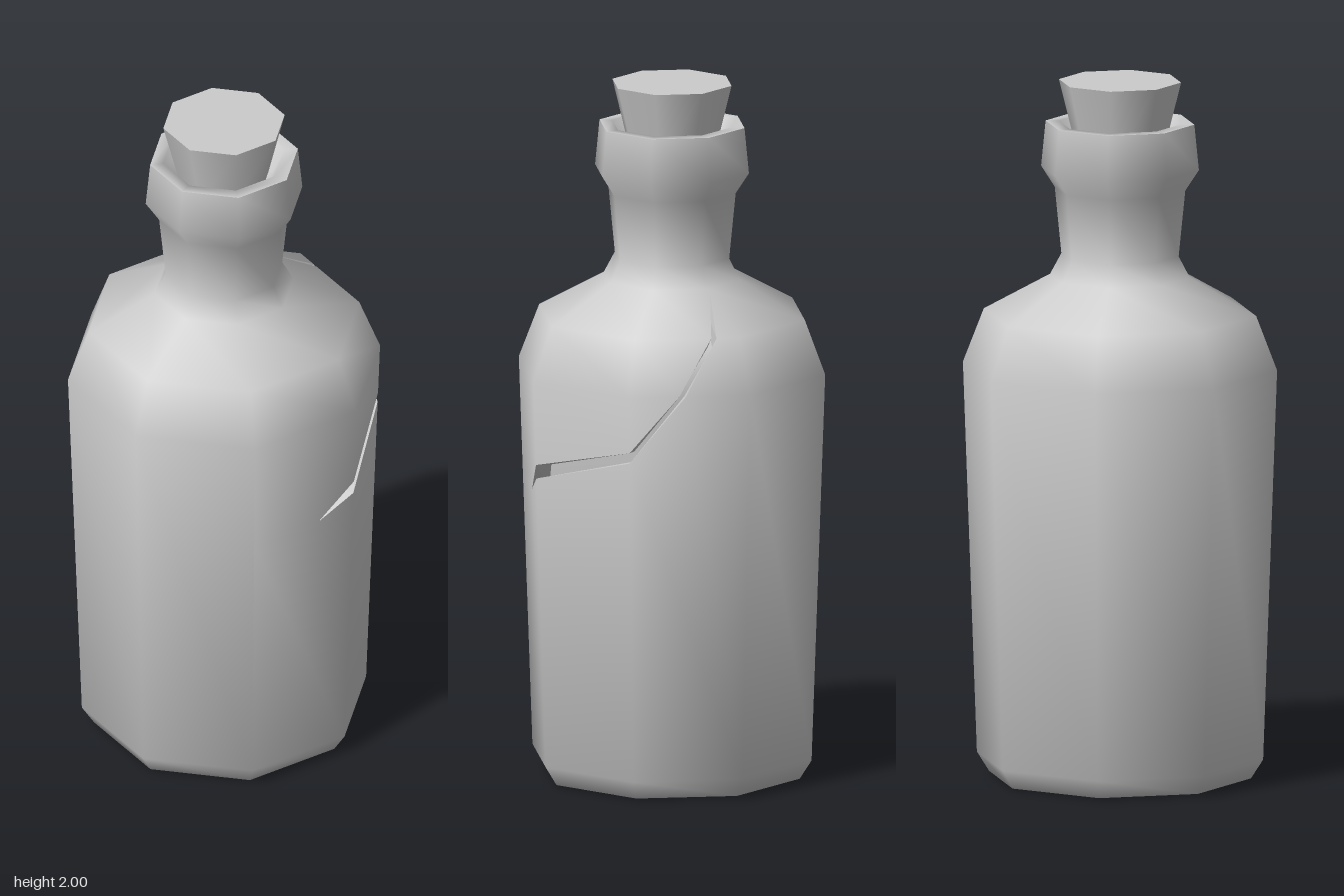
import * as THREE from 'three';

const SIDES = 8;
const CRACK_DEPTH = 0.05;
const V = (x, y, z) => new THREE.Vector3(x, y, z);

// Outer silhouette [radius, height], from the base centre up to the lip
const PROFILE = [
  [0, 0], [0.375, 0.005], [0.41, 0.06], [0.45, 1.18], [0.39, 1.335],
  [0.2, 1.44], [0.168, 1.5], [0.187, 1.69], [0.226, 1.75], [0.213, 1.88],
];

// Cells split by the crack, keyed "column,row"; polygons in cell coordinates (u, v)
const CRACKED = {
  '1,2': [
    [[0, 0], [1, 0], [1, 0.7], [0.35, 0.7], [0, 0.75]],
    [[0, 0.785], [0.35, 0.7], [1, 0.7], [1, 1], [0, 1]],
  ],
  '0,2': [
    [[0, 0], [1, 0], [1, 0.75], [0, 0.83]],
    [[0, 0.857], [1, 0.785], [1, 1], [0, 1]],
  ],
  '7,2': [
    [[0, 0], [1, 0], [1, 0.83], [0.53, 1], [0, 1]],
    [[1, 0.857], [1, 1], [0.585, 1]],
  ],
  '7,3': [
    [[0, 0], [0.53, 0], [0.22, 1], [0, 1]],
    [[0.585, 0], [1, 0], [1, 1], [0.27, 1]],
  ],
  '7,4': [
    [[0, 0], [0.22, 0], [0, 0.9]],
    [[0.27, 0], [1, 0], [1, 1], [0, 1], [0, 0.9]],
  ],
};
const WHOLE = [[[0, 0], [1, 0], [1, 1], [0, 1]]];

// Smooth profile normals, averaged from the neighbouring segments
const segmentNormals = PROFILE.slice(1).map(([r, y], i) =>
  new THREE.Vector2(y - PROFILE[i][1], PROFILE[i][0] - r).normalize());
const profileNormals = PROFILE.map((_, i) => {
  if (i === 0) return new THREE.Vector2(0, -1);
  const n = segmentNormals[i - 1].clone();
  if (i < segmentNormals.length) n.add(segmentNormals[i]);
  return n.normalize();
});

// Bilinear blend over one flat cell of the faceted wall
function sample(col, row, [u, v], radiusHeight) {
  const corner = (c, r) => {
    const a = (c / SIDES) * Math.PI * 2;
    const [rad, y] = radiusHeight(r);
    return V(rad * Math.cos(a), y, rad * Math.sin(a));
  };
  const low = corner(col, row).lerp(corner(col + 1, row), u);
  const high = corner(col, row + 1).lerp(corner(col + 1, row + 1), u);
  return low.lerp(high, v);
}
const pointAt = (c, r, uv) => sample(c, r, uv, (i) => PROFILE[i]);
const normalAt = (c, r, uv) =>
  sample(c, r, uv, (i) => [profileNormals[i].x, profileNormals[i].y]).normalize();

function geometryFrom(positions, normals) {
  const g = new THREE.BufferGeometry();
  g.setAttribute('position', new THREE.Float32BufferAttribute(positions, 3));
  if (normals) g.setAttribute('normal', new THREE.Float32BufferAttribute(normals, 3));
  else g.computeVertexNormals();
  return g;
}

function buildWall() {
  const pos = [], nor = [], edges = [];
  const onBorder = (a, b) => [0, 1].some((k) => a[k] === b[k] && (a[k] === 0 || a[k] === 1));
  for (let col = 0; col < SIDES; col++) {
    for (let row = 0; row < PROFILE.length - 1; row++) {
      for (const poly of CRACKED[`${col},${row}`] || WHOLE) {
        const contour = poly.map(([u, v]) => new THREE.Vector2(u, v));
        for (const tri of THREE.ShapeUtils.triangulateShape(contour, [])) {
          // Reverse the corners so that the face looks outward
          if (THREE.ShapeUtils.area(tri.map((i) => contour[i])) > 0) tri.reverse();
          for (const i of tri) {
            pos.push(...pointAt(col, row, poly[i]));
            nor.push(...normalAt(col, row, poly[i]));
          }
        }
        // Broken thickness along every edge inside a cell
        poly.forEach((a, i) => {
          const b = poly[(i + 1) % poly.length];
          if (onBorder(a, b)) return;
          const p = pointAt(col, row, a), q = pointAt(col, row, b);
          const pi = p.clone().addScaledVector(normalAt(col, row, a), -CRACK_DEPTH);
          const qi = q.clone().addScaledVector(normalAt(col, row, b), -CRACK_DEPTH);
          for (const w of [p, q, qi, p, qi, pi]) edges.push(...w);
        });
      }
    }
  }
  return { wall: geometryFrom(pos, nor), edges: geometryFrom(edges) };
}

export function createModel() {
  const model = new THREE.Group();
  model.name = 'corkedBottle';
  const grey = new THREE.MeshStandardMaterial({ color: 0xcccccc });
  const greyDouble = new THREE.MeshStandardMaterial({ color: 0xcccccc, side: THREE.DoubleSide });
  const add = (name, geometry, material = grey) => {
    const mesh = new THREE.Mesh(geometry, material);
    mesh.name = name;
    model.add(mesh);
    return mesh;
  };
  const lathe = (points) =>
    new THREE.LatheGeometry(points.map(([r, y]) => new THREE.Vector2(r, y)), SIDES);

  // Outer glass with the open crack on its left side
  const { wall, edges } = buildWall();
  add('bottleWall', wall);
  add('crackEdges', edges, greyDouble);

  // Inner layer seen through the crack
  add('innerLayer', lathe([
    [0, 0.05], [0.35, 0.05], [0.4, 1.16], [0.35, 1.3], [0.16, 1.4], [0.12, 1.5], [0.12, 1.82],
  ]), greyDouble);

  // Top of the lip, dipping toward the cork
  add('lipRim', lathe([[0.213, 1.88], [0.175, 1.88], [0.145, 1.82], [0.1, 1.8]]), greyDouble);

  // Tapered stopper
  add('cork', new THREE.CylinderGeometry(0.175, 0.125, 0.2, SIDES)).position.y = 1.9;

  return model;
}
